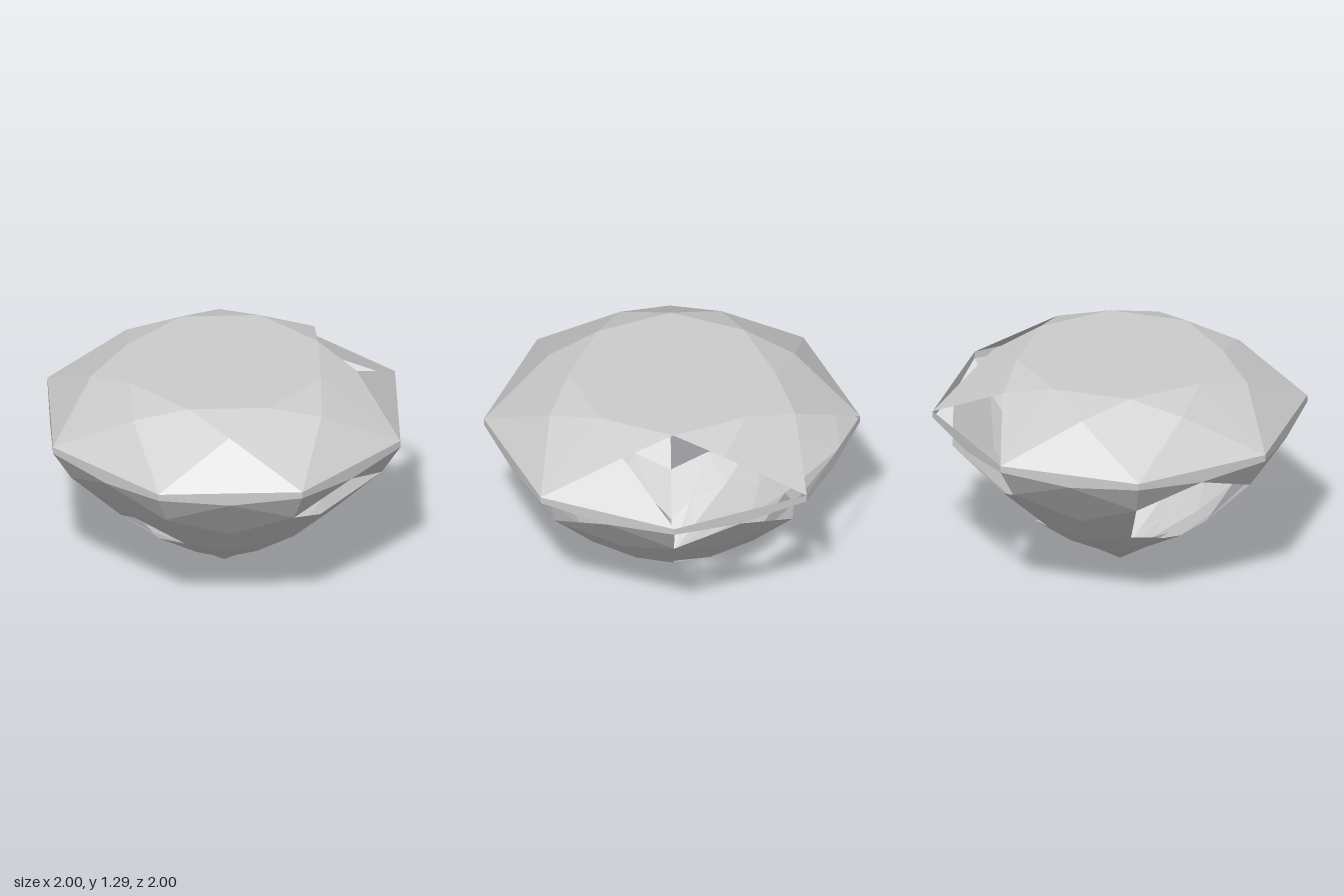
import * as THREE from 'three';

// Rings of corners: [radius, height]. Turning steps are 22.5 degrees.
const RINGS = {
  T: [0.595, 1.295], M: [0.765, 1.22], A: [1.082, 0.985], a: [1.082, 0.945],
  B: [1, 0.905], C: [0.967, 0.76], D: [0.755, 0.58], E: [0.65, 0.44],
  F: [0.55, 0.36], G: [0.45, 0.28], H: [0.29, 0.2], I: [0.18, 0.12], tip: [0, 0],
};

// Facets left open, by row and turning step.
const OPEN = new Set([
  'upper0', 'upper2', 'bezel15',
  'BD2', 'BD6', 'BD12', 'DF2', 'DF6', 'DF8', 'Htip8',
  'aC13+', 'aC15+', 'aC1-', 'aC1+', 'aC3-',
  'CE7-', 'CE5+', 'EG7-', 'EG1+', 'EG15+', 'GI15+', 'GI1-',
]);

function corner(ring, step) {
  const [r, y] = RINGS[ring];
  const angle = step * Math.PI / 8;
  return new THREE.Vector3(-r * Math.sin(angle), y, -r * Math.cos(angle));
}

// Flat polygons as outward-facing triangle fans.
function facetMesh(name, facets, material) {
  const points = [];
  const inside = new THREE.Vector3(0, 0.8, 0);
  for (const f of facets) {
    for (let i = 1; i < f.length - 1; i++) {
      const tri = [f[0], f[i], f[i + 1]];
      const normal = f[i].clone().sub(f[0]).cross(f[i + 1].clone().sub(f[0]));
      if (normal.dot(f[0].clone().sub(inside)) < 0) tri.reverse();
      points.push(...tri);
    }
  }
  const geometry = new THREE.BufferGeometry().setFromPoints(points);
  geometry.computeVertexNormals();
  const mesh = new THREE.Mesh(geometry, material);
  mesh.name = name;
  return mesh;
}

export function createModel() {
  const group = new THREE.Group();
  group.name = 'cutGem';
  const gem = new THREE.MeshStandardMaterial({ color: 0xcccccc, side: THREE.DoubleSide, flatShading: true });
  gem.name = 'pale grey';

  const table = [[]], crown = [], girdle = [], pavilion = [];
  const add = (list, key, ...corners) => {
    if (!OPEN.has(key)) list.push(corners.map(([ring, step]) => corner(ring, step)));
  };

  // Facets centred on the flat sides of the octagon
  for (let k = 0; k < 16; k += 2) {
    const l = k - 1, r = k + 1;
    table[0].push(corner('T', r));
    add(crown, 'star' + k, ['T', l], ['T', r], ['M', k]);
    add(crown, 'upper' + k, ['M', k], ['A', l], ['A', r]);
    add(girdle, 'girdle' + k, ['B', k], ['a', l], ['A', l], ['A', r], ['a', r]);
    for (const [top, mid, low] of [['B', 'C', 'D'], ['D', 'E', 'F'], ['F', 'G', 'H'], ['H', 'I', 'tip']]) {
      add(pavilion, top + low + k, [top, k], [mid, l], [low, k], [mid, r]);
    }
  }

  // Facets centred on the corners; the lower ones are split into halves
  for (let k = 1; k < 16; k += 2) {
    add(crown, 'bezel' + k, ['T', k], ['M', k - 1], ['A', k], ['M', k + 1]);
    for (const side of [-1, 1]) {
      for (const [top, mid, low] of [['a', 'B', 'C'], ['C', 'D', 'E'], ['E', 'F', 'G'], ['G', 'H', 'I']]) {
        add(pavilion, top + low + k + (side > 0 ? '+' : '-'), [top, k], [mid, k + side], [low, k]);
      }
    }
  }

  group.add(
    facetMesh('table', table, gem),
    facetMesh('crown', crown, gem),
    facetMesh('girdle', girdle, gem),
    facetMesh('pavilion', pavilion, gem),
  );
  return group;
}
